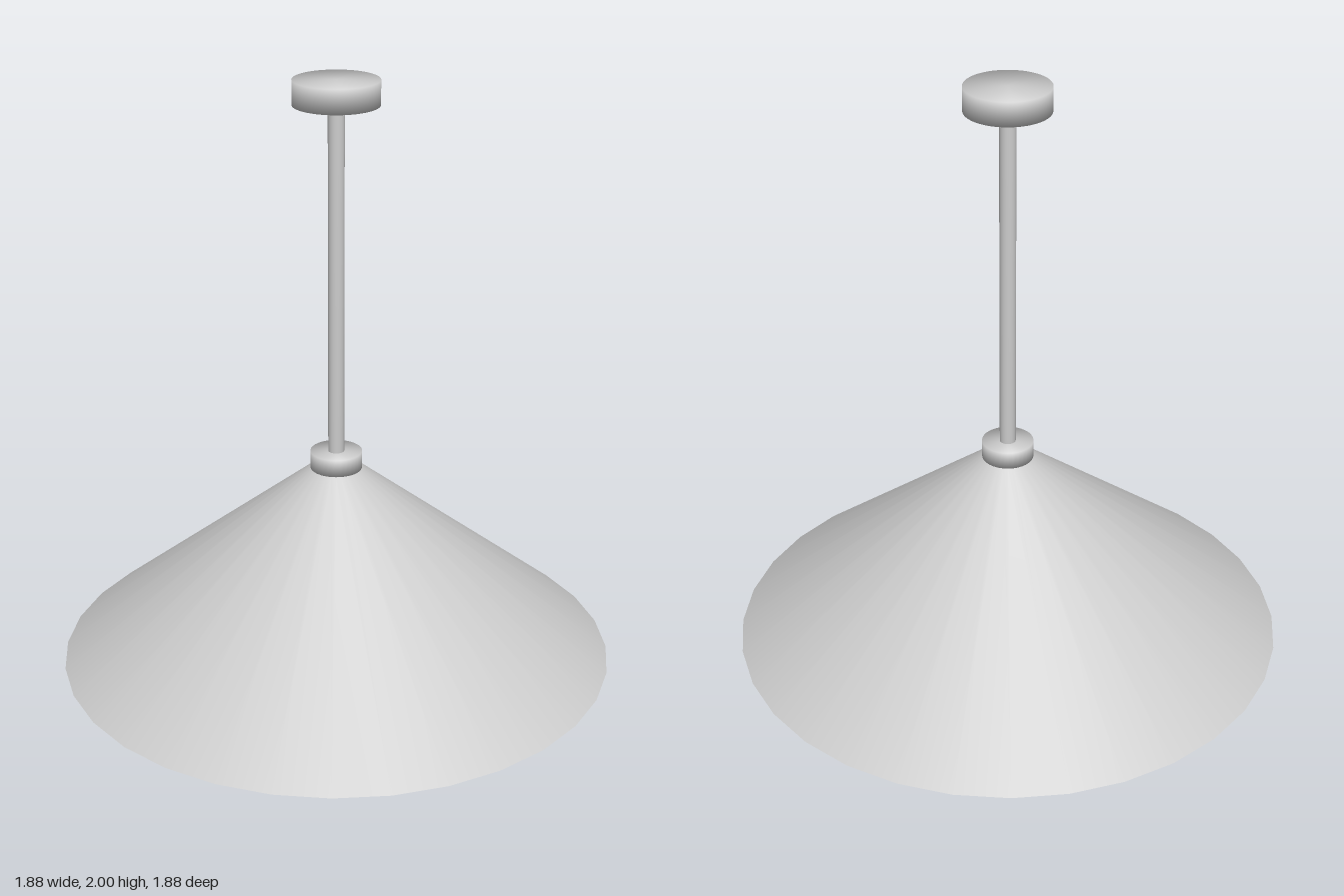
import * as THREE from 'three';
import { mergeVertices, toCreasedNormals } from 'three/addons/utils/BufferGeometryUtils.js';

const material = new THREE.MeshStandardMaterial({ color: 0xcccccc });

// Capped cylinder between two heights, with normals blended softly over its edges
function softCylinder(name, radius, bottom, top, sides) {
  let geometry = new THREE.CylinderGeometry(radius, radius, top - bottom, sides);
  geometry.deleteAttribute('normal');
  geometry.deleteAttribute('uv');
  geometry = mergeVertices(geometry);
  geometry.computeVertexNormals();
  geometry.translate(0, (bottom + top) / 2, 0);
  const mesh = new THREE.Mesh(geometry, material);
  mesh.name = name;
  return mesh;
}

export function createModel() {
  const group = new THREE.Group();
  group.name = 'pendantLamp';

  // Ceiling mount, hanging rod and the collar that holds the shade
  group.add(softCylinder('ceilingCanopy', 0.14, 1.92, 2, 64));
  group.add(softCylinder('rod', 0.027, 0.72, 1.93, 24));
  group.add(softCylinder('collar', 0.087, 0.68, 0.74, 32));

  // Hollow conical shade: up the middle, down the inside, round the rim, up the outside
  const profile = [
    [0, 0.67], [0.07, 0.67], [0.922, 0], [0.94, 0], [0.085, 0.682], [0, 0.682],
  ].map(([r, y]) => new THREE.Vector2(r, y));
  const shade = new THREE.Mesh(
    toCreasedNormals(new THREE.LatheGeometry(profile, 32), Math.PI / 6),
    material,
  );
  shade.name = 'shade';
  group.add(shade);

  return group;
}
